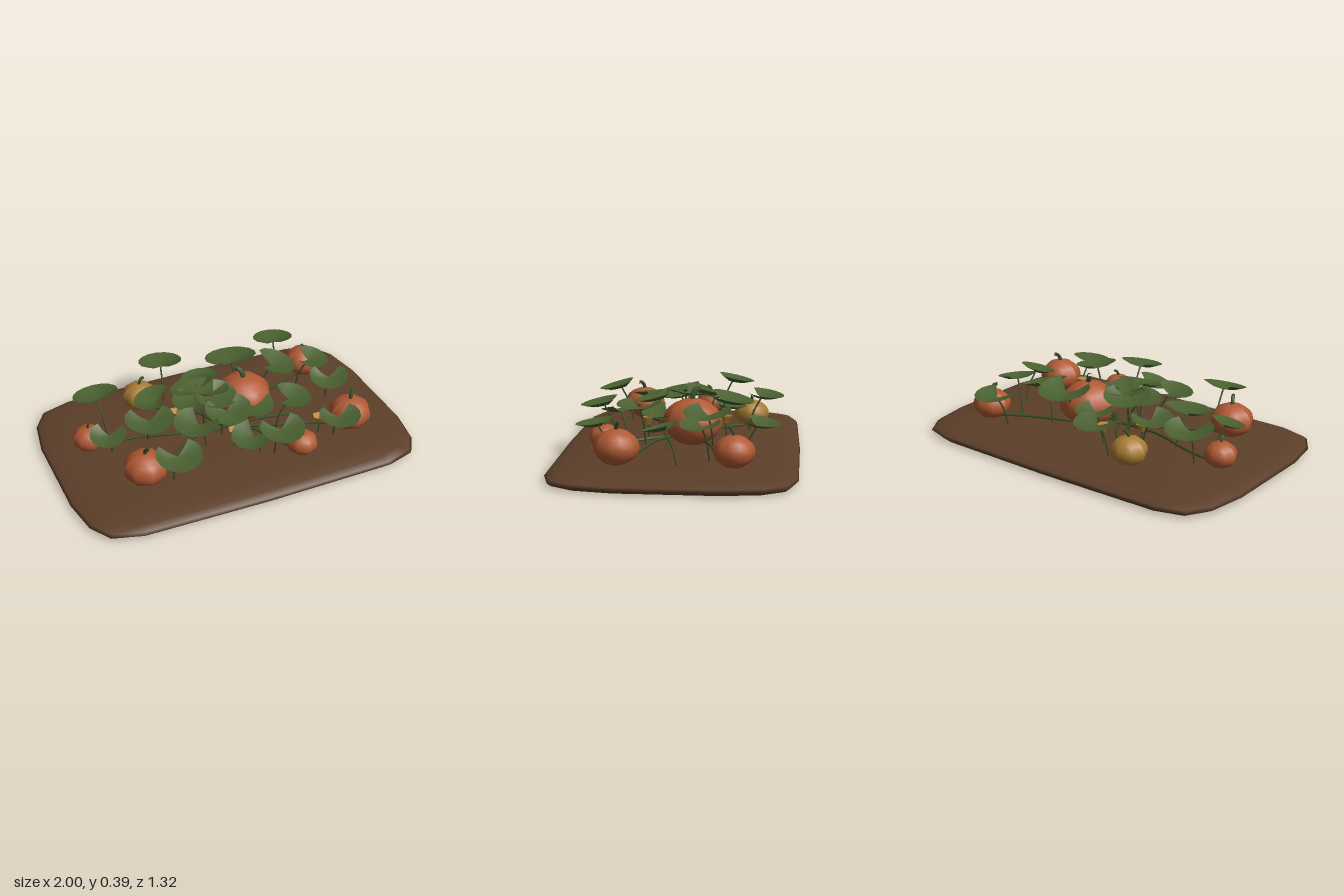
import * as THREE from 'three';

const mat = (color, extra = {}) => new THREE.MeshStandardMaterial({ color, ...extra });
const V = (x, y, z) => new THREE.Vector3(x, y, z);

function named(geometry, material, name) {
  const m = new THREE.Mesh(geometry, material);
  m.name = name;
  return m;
}

function tube(points, radius, material, name, segments = 8) {
  const curve = new THREE.CatmullRomCurve3(points);
  return named(new THREE.TubeGeometry(curve, segments, radius, 5), material, name);
}

// Indexed surface through rings of equal length; closed rings wrap around
function ringSurface(rings, closed) {
  const n = rings[0].length, pos = [], idx = [];
  rings.forEach(r => r.forEach(p => pos.push(p.x, p.y, p.z)));
  for (let i = 0; i < rings.length - 1; i++)
    for (let j = 0; j < (closed ? n : n - 1); j++) {
      const a = i * n + j, b = i * n + (j + 1) % n;
      idx.push(a, a + n, b, b, a + n, b + n);
    }
  const g = new THREE.BufferGeometry();
  g.setAttribute('position', new THREE.Float32BufferAttribute(pos, 3));
  g.setIndex(idx);
  g.computeVertexNormals();
  return g;
}

// Soil bed: rounded rectangle outline, scaled through a low mound profile
function makeSoil(material) {
  const q = [[1, 0], [1, 0.27], [0.965, 0.48], [0.89, 0.6], [0.73, 0.648], [0, 0.66]];
  const outline = [
    ...q,
    ...q.slice(0, 5).reverse().map(([x, z]) => [-x, z]),
    ...q.slice(1).map(([x, z]) => [-x, -z]),
    ...q.slice(1, 5).reverse().map(([x, z]) => [x, -z]),
  ];
  const profile = [[0.001, 0], [0.95, 0], [0.97, 0.002], [1, 0.022], [0.985, 0.036], [0.93, 0.052], [0.8, 0.064], [0.5, 0.073], [0.001, 0.077]];
  const rings = profile.map(([s, y]) => outline.map(([x, z]) => V(x * s, y, z * s)));
  return named(ringSurface(rings, true), material, 'soilBed');
}

// Ribbed pumpkin with a curved stem
function makePumpkin(x, z, r, height, lean, skin, stemMat) {
  const g = new THREE.Group();
  g.name = 'pumpkin';
  const geo = new THREE.SphereGeometry(1, 16, 10);
  const p = geo.attributes.position;
  for (let i = 0; i < p.count; i++) {
    const a = Math.atan2(p.getZ(i), p.getX(i));
    const k = 0.96 + 0.04 * Math.cos(8 * a);
    p.setXYZ(i, p.getX(i) * k * r, p.getY(i) * height / 2, p.getZ(i) * k * r);
  }
  geo.computeVertexNormals();
  const body = named(geo, skin, 'pumpkinBody');
  body.position.y = height / 2;
  const dx = Math.cos(lean) * r, dz = Math.sin(lean) * r;
  const y = height * 0.97;
  const stem = tube([V(0, y, 0), V(dx * 0.06, y + r * 0.2, dz * 0.06),
    V(dx * 0.18, y + r * 0.33, dz * 0.18), V(dx * 0.32, y + r * 0.34, dz * 0.32)], r * 0.09, stemMat, 'pumpkinStem', 6);
  g.add(body, stem);
  g.position.set(x, 0.07, z);
  return g;
}

// Kidney-shaped cupped leaf, with a wide notch at its stalk, sloping down along +x
function leafGeometry(slope) {
  const rings = [0.001, 0.55, 1].map(t => {
    const ring = [];
    for (let j = 0; j <= 12; j++) {
      const a = THREE.MathUtils.degToRad(126 - j * 21);
      const edge = Math.abs(j - 6) / 6;
      const r = t * (1.07 - 0.25 * edge ** 4);
      const x = Math.cos(a) * r;
      ring.push(V(x, -slope * x + 0.28 * t * t, Math.sin(a) * r));
    }
    return ring;
  });
  return ringSurface(rings, false);
}

export function createModel() {
  const model = new THREE.Group();
  model.name = 'pumpkinPatch';
  const soil = mat(0x5c3f29);
  const orange = mat(0xb05a34);
  const yellow = mat(0xa87c32);
  const leafMat = mat(0x4a6030, { side: THREE.DoubleSide });
  const vineMat = mat(0x3d5229);
  const flowerMat = mat(0xb88630, { flatShading: true, side: THREE.DoubleSide });

  model.add(makeSoil(soil));

  // Pumpkins: x, z, radius, height, stem lean, skin
  const pumpkins = [
    [0.155, -0.065, 0.166, 0.26, -2.4, orange],
    [0.67, -0.32, 0.109, 0.17, 2.4, orange],
    [0.66, 0.285, 0.122, 0.188, -0.7, orange],
    [0.3, 0.4, 0.088, 0.136, -0.6, orange],
    [-0.58, 0.29, 0.122, 0.188, 1.1, orange],
    [-0.765, -0.11, 0.09, 0.143, 1.5, orange],
    [-0.365, -0.375, 0.102, 0.16, -0.3, yellow],
  ];
  for (const p of pumpkins) model.add(makePumpkin(...p, vineMat));

  // Vines running over the soil from the crown to each pumpkin
  const hub = V(0, 0.085, 0.03);
  pumpkins.slice(1).forEach(([x, z], i) => {
    const bend = i % 2 ? 0.05 : -0.05;
    model.add(tube([hub, V(x * 0.35 - z * bend, 0.1, z * 0.35 + x * bend),
      V(x * 0.7, 0.092, z * 0.7), V(x, 0.085, z)], 0.008, vineMat, 'vine', 12));
  });
  model.add(tube([hub, V(0.2, 0.1, 0.05), V(0.41, 0.085, 0.065)], 0.008, vineMat, 'vine'));

  // Leaves: centre x, z, radius, outward angle in degrees, stalk height
  const leaves = [
    [-0.2, -0.47, 0.125, -80, 0.27], [-0.67, -0.28, 0.13, -105, 0.285],
    [-0.71, 0.065, 0.1, 120, 0.235], [-0.46, 0.06, 0.135, 100, 0.25],
    [-0.375, -0.165, 0.12, -160, 0.24], [-0.44, 0.45, 0.125, 90, 0.275],
    [-0.04, -0.27, 0.11, -100, 0.24], [0.165, -0.29, 0.15, -90, 0.31],
    [0.42, -0.155, 0.13, 20, 0.28], [0.53, -0.465, 0.118, -80, 0.255],
    [0.645, -0.135, 0.11, 30, 0.265], [0.64, 0.07, 0.11, 110, 0.25],
    [0.52, 0.43, 0.115, 100, 0.24], [0.155, 0.46, 0.125, 90, 0.28],
    [0, 0.36, 0.115, 150, 0.22], [0.34, 0.22, 0.12, 20, 0.3],
    [0.155, 0.11, 0.13, 45, 0.23], [-0.04, 0.18, 0.13, 90, 0.28],
    [-0.26, 0.2, 0.13, 150, 0.265], [-0.05, 0.05, 0.125, 60, 0.3],
    [-0.155, -0.12, 0.13, -120, 0.3], [-0.08, -0.05, 0.13, -60, 0.31],
    [-0.2, -0.02, 0.12, 180, 0.28],
  ];
  const shapes = [0.15, 0.22, 0.28].map(leafGeometry);
  leaves.forEach(([cx, cz, r, deg, y], i) => {
    const a = THREE.MathUtils.degToRad(deg);
    const x = cx - Math.cos(a) * r * 0.3, z = cz - Math.sin(a) * r * 0.3;
    const leaf = named(shapes[i % 3], leafMat, 'leaf');
    leaf.scale.setScalar(r);
    leaf.rotation.y = -a;
    leaf.position.set(x, y, z);
    const fx = x - Math.cos(a) * 0.07, fz = z - Math.sin(a) * 0.07;
    model.add(leaf, tube([V(fx, 0.075, fz), V(fx + (x - fx) * 0.3, y * 0.65, fz + (z - fz) * 0.3),
      V(x, y, z)], 0.005, vineMat, 'leafStalk', 5));
  });

  // Trumpet flowers on short stalks
  for (const [x, z, y] of [[0.47, 0.27, 0.14], [-0.25, -0.1, 0.14], [-0.09, -0.24, 0.145], [-0.02, 0.2, 0.145]]) {
    const flower = named(new THREE.CylinderGeometry(0.038, 0.01, 0.045, 5, 1, true), flowerMat, 'flower');
    flower.position.set(x, y + 0.02, z);
    model.add(flower, tube([V(x, 0.07, z), V(x + 0.005, y * 0.75, z), V(x, y, z)], 0.005, vineMat, 'flowerStalk', 4));
  }
  return model;
}
